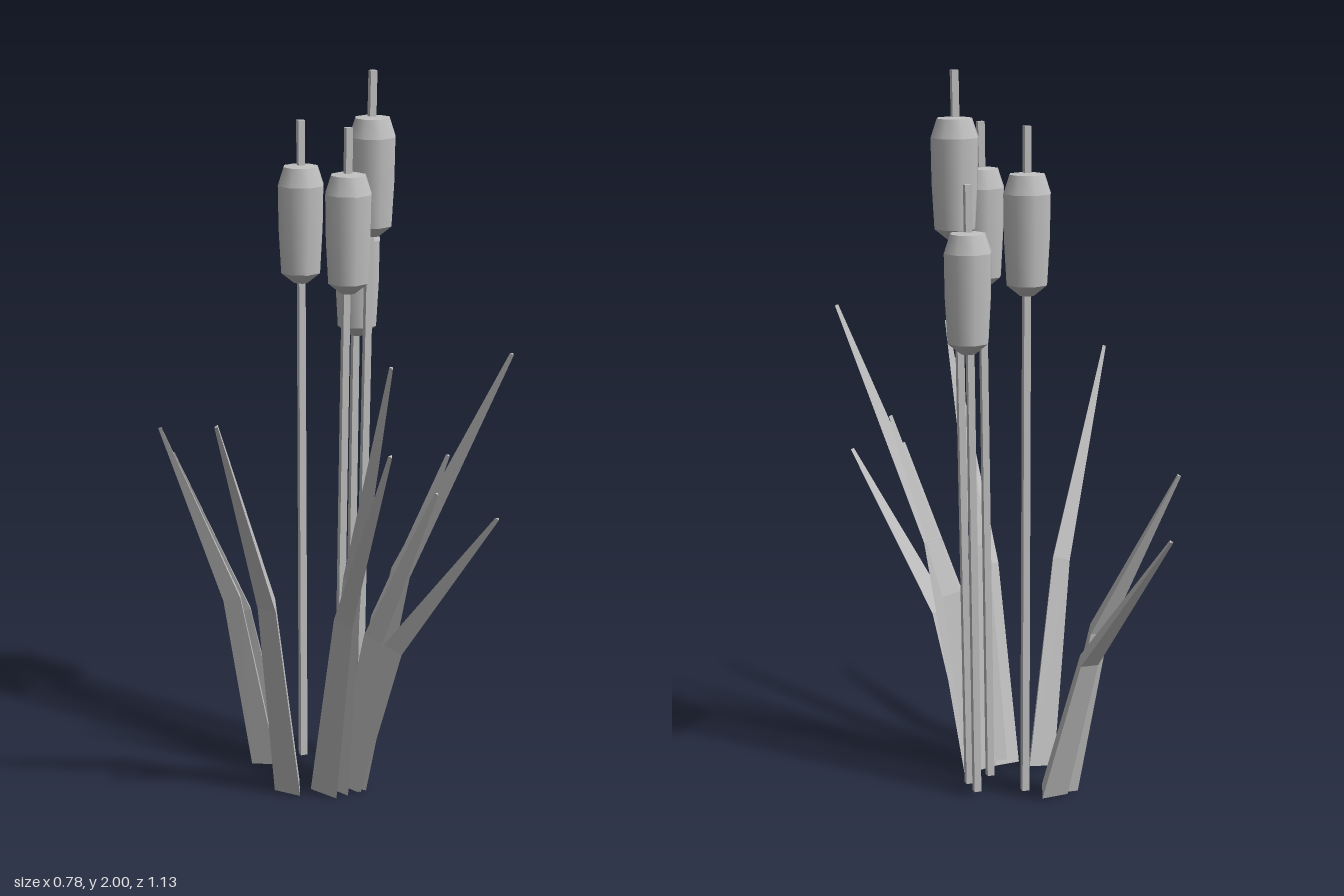
import * as THREE from 'three';

const gray = new THREE.MeshStandardMaterial({ color: 0xc0c0c0 });
gray.name = 'plain gray';

// Flat-shaded closed loft through polygon rings: { x, y, z, r, tilt: [slopeX, slopeZ] }
function loft(rings, sides, startAngle) {
  const pts = rings.map(({ x, y, z, r, tilt = [0, 0] }) =>
    Array.from({ length: sides }, (_, i) => {
      const a = startAngle + (i / sides) * Math.PI * 2;
      const dx = Math.cos(a) * r, dz = Math.sin(a) * r;
      return [x + dx, y + dx * tilt[0] + dz * tilt[1], z + dz];
    }));
  const out = [];
  const tri = (...corners) => corners.forEach((c) => out.push(...c));
  for (let k = 0; k < pts.length - 1; k++) {
    for (let i = 0; i < sides; i++) {
      const j = (i + 1) % sides;
      tri(pts[k][i], pts[k + 1][i], pts[k][j]);
      tri(pts[k][j], pts[k + 1][i], pts[k + 1][j]);
    }
  }
  const first = pts[0], last = pts[pts.length - 1];
  for (let i = 1; i < sides - 1; i++) {
    tri(first[0], first[i], first[i + 1]);
    tri(last[0], last[i + 1], last[i]);
  }
  const geo = new THREE.BufferGeometry();
  geo.setAttribute('position', new THREE.Float32BufferAttribute(out, 3));
  geo.computeVertexNormals();
  return geo;
}

function add(parent, geo, name) {
  const mesh = new THREE.Mesh(geo, gray);
  mesh.name = name;
  parent.add(mesh);
  return mesh;
}

// Eight-sided lathe piece
const lathe = (profile) =>
  new THREE.LatheGeometry(profile.map(([r, y]) => new THREE.Vector2(r, y)), 8);

// Seed head pieces, measured from the underside of the head
const headPieces = {
  headUnderside: lathe([[0, 0], [0.02, 0], [0.057, 0.03]]),
  headBody: lathe([[0.057, 0.03], [0.064, 0.15], [0.066, 0.27]]),
  headShoulder: lathe([[0.066, 0.27], [0.049, 0.32]]),
  headTop: lathe([[0.049, 0.32], [0, 0.325]]),
};

// Stalks: head x, z, head underside y, stem top y, stem foot x, z
const stalks = [
  [0.177, -0.013, 1.555, 2.0, 0.145, -0.01],
  [0.17, -0.098, 1.262, 1.71, 0.143, -0.075],
  [0.017, -0.131, 1.415, 1.86, 0.015, -0.112],
  [0.089, 0.036, 1.415, 1.86, 0.07, 0.027],
];

// Leaves: tip x, y, z, distance of the foot from the middle
const leaves = [
  [-0.222, 0.835, -0.56, 0.145],
  [-0.31, 0.965, -0.4, 0.148],
  [-0.385, 1.175, 0.33, 0.122],
  [-0.004, 1.12, 0.56, 0.123],
  [0.098, 1.28, 0.32, 0.123],
  [0.222, 0.93, 0.343, 0.13],
  [0.27, 1.02, 0.305, 0.135],
  [0.335, 0.89, 0.48, 0.135],
  [0.385, 1.32, 0.44, 0.143],
];

export function createModel() {
  const model = new THREE.Group();
  model.name = 'reeds';

  stalks.forEach(([x, z, headY, topY, footX, footZ]) => {
    const stalk = new THREE.Group();
    stalk.name = 'stalk';
    // Square stem leaning slightly
    add(stalk, loft([
      { x: footX, y: 0.02, z: footZ, r: 0.014 },
      { x, y: topY, z, r: 0.013 },
    ], 4, Math.PI / 4), 'stem');
    // Seed head
    const head = new THREE.Group();
    head.name = 'seedHead';
    head.position.set(x, headY, z);
    for (const [name, geo] of Object.entries(headPieces)) add(head, geo, name);
    stalk.add(head);
    model.add(stalk);
  });

  // Three-sided leaves that bend outward halfway up
  leaves.forEach(([x, y, z, footR]) => {
    const len = Math.hypot(x, z), ux = x / len, uz = z / len;
    const fx = ux * footR, fz = uz * footR;
    const lean = (s) => [-ux * s, -uz * s];
    add(model, loft([
      { x: fx, y: 0.012, z: fz, r: 0.047, tilt: lean(0.18) },
      { x: fx + (x - fx) * 0.31, y: y * 0.5 + 0.01, z: fz + (z - fz) * 0.31, r: 0.032, tilt: lean(0.35) },
      { x, y: y - 0.003, z, r: 0.006, tilt: lean(0.5) },
    ], 3, THREE.MathUtils.degToRad(79)), 'leaf');
  });

  return model;
}
